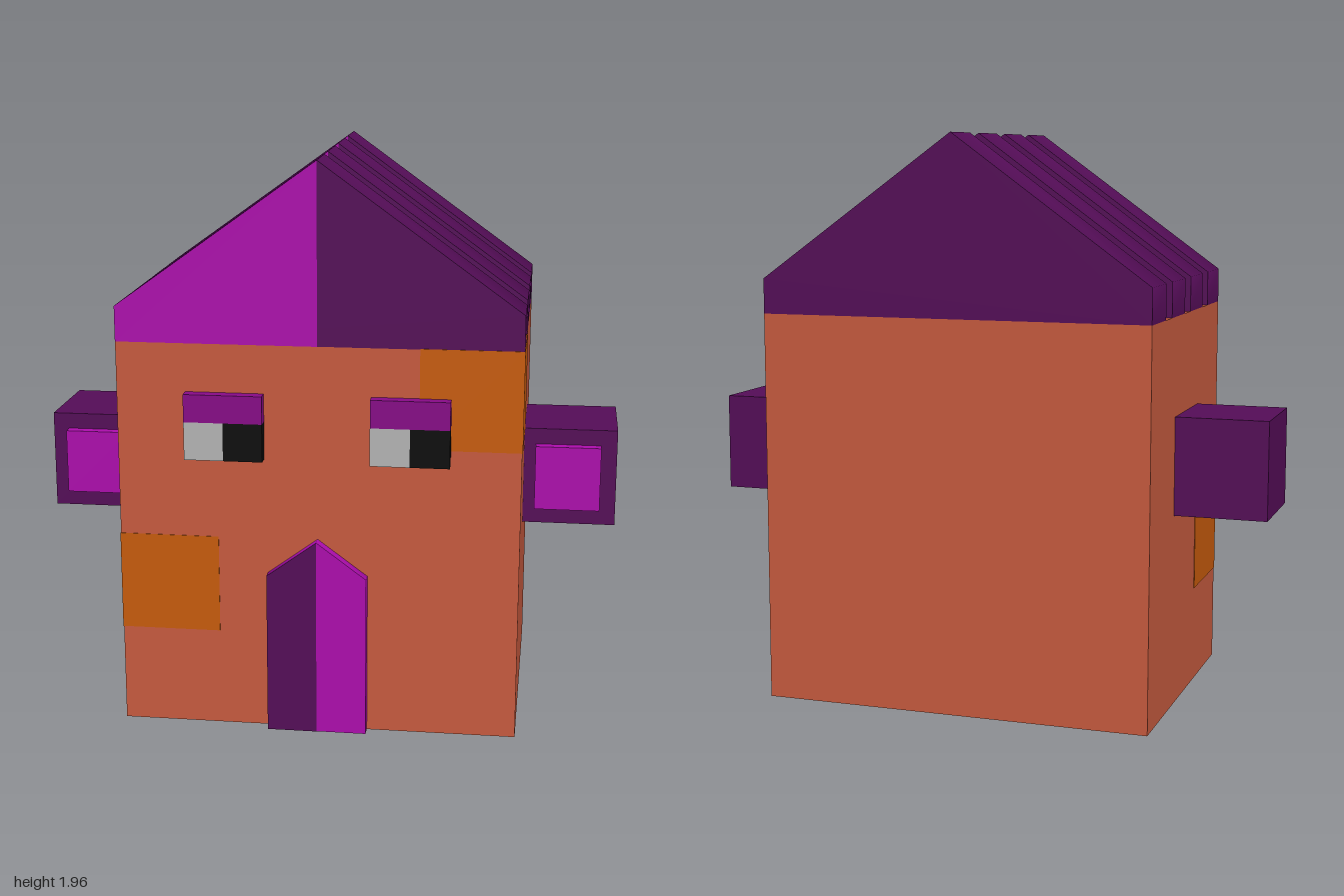
import * as THREE from 'three';
import { toCreasedNormals } from 'three/addons/utils/BufferGeometryUtils.js';

const mat = (color) => new THREE.MeshStandardMaterial({ color });
const wall = mat(0xc75b3f), patch = mat(0xc85c0c), dark = mat(0x550d58);
const bright = mat(0xad0dad), lid = mat(0x870a87), white = mat(0xb4b4b4), black = mat(0x0c0c0c);

const FRONT = 0.485, BACK = -0.53, W = 0.68, TOP = 1.35, SKIN = 0.002;

export function createModel() {
  const model = new THREE.Group();
  model.name = 'houseWithFace';

  const add = (name, geometry, material) => {
    const mesh = new THREE.Mesh(geometry, material);
    mesh.name = name;
    model.add(mesh);
    return mesh;
  };

  // Box given by its extents on each axis
  const box = (name, material, [x0, x1], [y0, y1], [z0, z1]) =>
    add(name, new THREE.BoxGeometry(x1 - x0, y1 - y0, z1 - z0), material)
      .position.set((x0 + x1) / 2, (y0 + y1) / 2, (z0 + z1) / 2);

  // Gabled outline, and its left half (-x)
  const gable = (w, base, eave, peak, half) => {
    const pts = [[-w, base], ...(half ? [[0, base]] : [[w, base], [w, eave]]), [0, peak], [-w, eave]];
    return new THREE.Shape(pts.map(([x, y]) => new THREE.Vector2(x, y)));
  };

  // Gabled slab whose front shows its left half in a second colour
  const gabledSlab = (name, dims, z0, z1, material, halfMaterial) => {
    const slab = new THREE.ExtrudeGeometry(gable(...dims, false), { depth: z1 - z0, bevelEnabled: false });
    add(name, toCreasedNormals(slab, 1.4), material).position.z = z0;
    add(name + 'LeftFace', new THREE.ShapeGeometry(gable(...dims, true)), halfMaterial)
      .position.z = z1 + SKIN;
  };

  // House body
  box('body', wall, [-W, W], [0, TOP], [BACK, FRONT]);

  // Coloured blocks set into two front corners
  box('upperCornerPatch', patch, [0.34, W + SKIN], [1.01, TOP + SKIN], [0.14, FRONT + SKIN]);
  box('lowerCornerPatch', patch, [-W - SKIN, -0.34], [0.34, 0.68], [0.14, FRONT + SKIN]);

  // Four spaced roof slabs
  for (let i = 0; i < 4; i++) {
    const z1 = FRONT - i * 0.275;
    gabledSlab('roofSlab' + (i + 1), [W, TOP, 1.47, 1.96], z1 - 0.19, z1, dark, bright);
  }

  // Pointed door
  gabledSlab('door', [0.17, 0, 0.56, 0.685], FRONT, 0.525, bright, dark);

  // Eyes: white and black halves under a lid, both looking the same way
  for (const x of [-0.445, 0.18]) {
    const side = x < 0 ? 'right' : 'left', mid = x + 0.1325, end = x + 0.265, z = [FRONT, 0.528];
    box(side + 'EyeWhite', white, [x, mid], [0.96, 1.09], z);
    box(side + 'Pupil', black, [mid, end], [0.96, 1.09], z);
    box(side + 'Eyelid', lid, [x, end], [1.09, 1.185], z);
  }

  // Ears with a raised inner panel
  for (const s of [-1, 1]) {
    const side = s < 0 ? 'right' : 'left';
    const span = (a, b) => (s < 0 ? [-b, -a] : [a, b]);
    box(side + 'Ear', dark, span(W, 1), [0.67, 1.01], [-0.19, 0.155]);
    box(side + 'InnerEar', bright, span(0.72, 0.945), [0.73, 0.955], [0.155, 0.193]);
  }

  return model;
}
